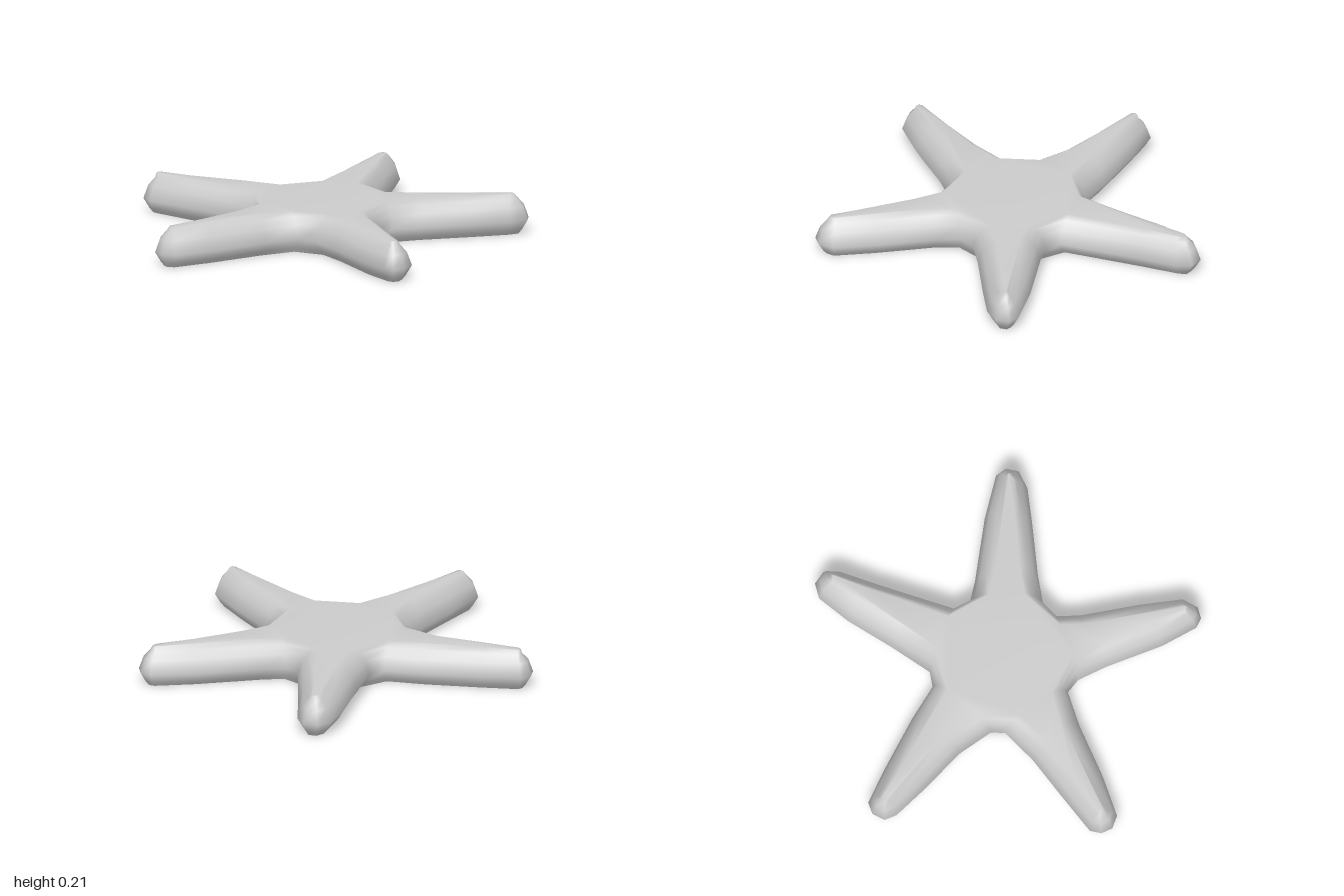
import * as THREE from 'three';

// Each arm: end of its spine, then its outline (x, z pairs) from one valley round the tip to the next valley.
const centre = new THREE.Vector2(-0.08, -0.01);
const arms = [
  { end: [0.88, -0.03], outline: [0.24, -0.20, 0.36, -0.18, 0.70, -0.15, 0.94, -0.105, 0.98, -0.06,
    0.97, 0.01, 0.88, 0.06, 0.69, 0.095, 0.41, 0.14, 0.26, 0.175] },
  { end: [0.22, 0.89], outline: [0.19, 0.24, 0.20, 0.36, 0.275, 0.66, 0.32, 0.89, 0.28, 0.97,
    0.22, 0.99, 0.17, 0.97, 0.06, 0.80, -0.07, 0.52, -0.15, 0.38] },
  { end: [-0.88, 0.53], outline: [-0.22, 0.33, -0.40, 0.40, -0.67, 0.535, -0.88, 0.62, -0.95, 0.60,
    -0.98, 0.545, -0.97, 0.485, -0.79, 0.33, -0.60, 0.17, -0.46, 0.02] },
  { end: [-0.88, -0.57], outline: [-0.46, -0.05, -0.59, -0.21, -0.78, -0.365, -0.94, -0.51, -0.97, -0.57,
    -0.94, -0.635, -0.88, -0.66, -0.68, -0.58, -0.41, -0.46, -0.23, -0.365] },
  { end: [0.28, -0.89], outline: [-0.15, -0.385, -0.03, -0.58, 0.105, -0.82, 0.22, -0.975, 0.30, -1.0,
    0.365, -0.96, 0.37, -0.87, 0.31, -0.67, 0.20, -0.27] },
];

// Rounded edge: height and how far the outline is drawn in towards the spines.
const profile = [[0, 0.05], [0.025, 0.03], [0.075, 0], [0.145, 0.025], [0.185, 0.06], [0.208, 0.095]];

// Outline drawn in by a distance, never quite reaching the spine of the arm.
function ring(inset) {
  const points = [];
  for (const { end, outline } of arms) {
    const axis = new THREE.Vector2(...end).sub(centre);
    for (let i = 0; i < outline.length; i += 2) {
      const p = new THREE.Vector2(outline[i], outline[i + 1]);
      const t = THREE.MathUtils.clamp(p.clone().sub(centre).dot(axis) / axis.lengthSq(), 0, 1);
      const inward = centre.clone().addScaledVector(axis, t).sub(p);
      const distance = inward.length();
      points.push(p.addScaledVector(inward.normalize(), Math.min(inset, 0.75 * distance)));
    }
  }
  return points;
}

// Triangles filling a ring, wound to face up or down.
function capFaces(points, offset, up) {
  return THREE.ShapeUtils.triangulateShape(points, []).flatMap(([a, b, c]) => {
    const ab = points[b].clone().sub(points[a]);
    const facesDown = ab.cross(points[c].clone().sub(points[a])) > 0;
    return (facesDown === up ? [a, c, b] : [a, b, c]).map((i) => i + offset);
  });
}

function makeMesh(name, positions, faces) {
  const geometry = new THREE.BufferGeometry();
  geometry.setAttribute('position', new THREE.Float32BufferAttribute(positions, 3));
  geometry.setIndex(faces);
  geometry.computeVertexNormals();
  const mesh = new THREE.Mesh(geometry, new THREE.MeshStandardMaterial({ color: 0xcccccc }));
  mesh.name = name;
  return mesh;
}

export function createModel() {
  const group = new THREE.Group();
  group.name = 'starfish';
  const rings = profile.map(([, inset]) => ring(inset));
  const n = rings[0].length;
  const place = (points, y) => points.flatMap((p) => [p.x, y, p.y]);

  // Rounded sides running smoothly into the flat top
  const faces = [];
  for (let k = 0; k < rings.length - 1; k++) {
    for (let i = 0; i < n; i++) {
      const a = k * n + i;
      const b = k * n + (i + 1) % n;
      faces.push(a, a + n, b, b, a + n, b + n);
    }
  }
  const last = rings.length - 1;
  faces.push(...capFaces(rings[last], last * n, true));
  group.add(makeMesh('starBody', rings.flatMap((r, k) => place(r, profile[k][0])), faces));

  // Flat underside with a sharp edge
  group.add(makeMesh('underside', place(rings[0], 0), capFaces(rings[0], 0, false)));
  return group;
}
